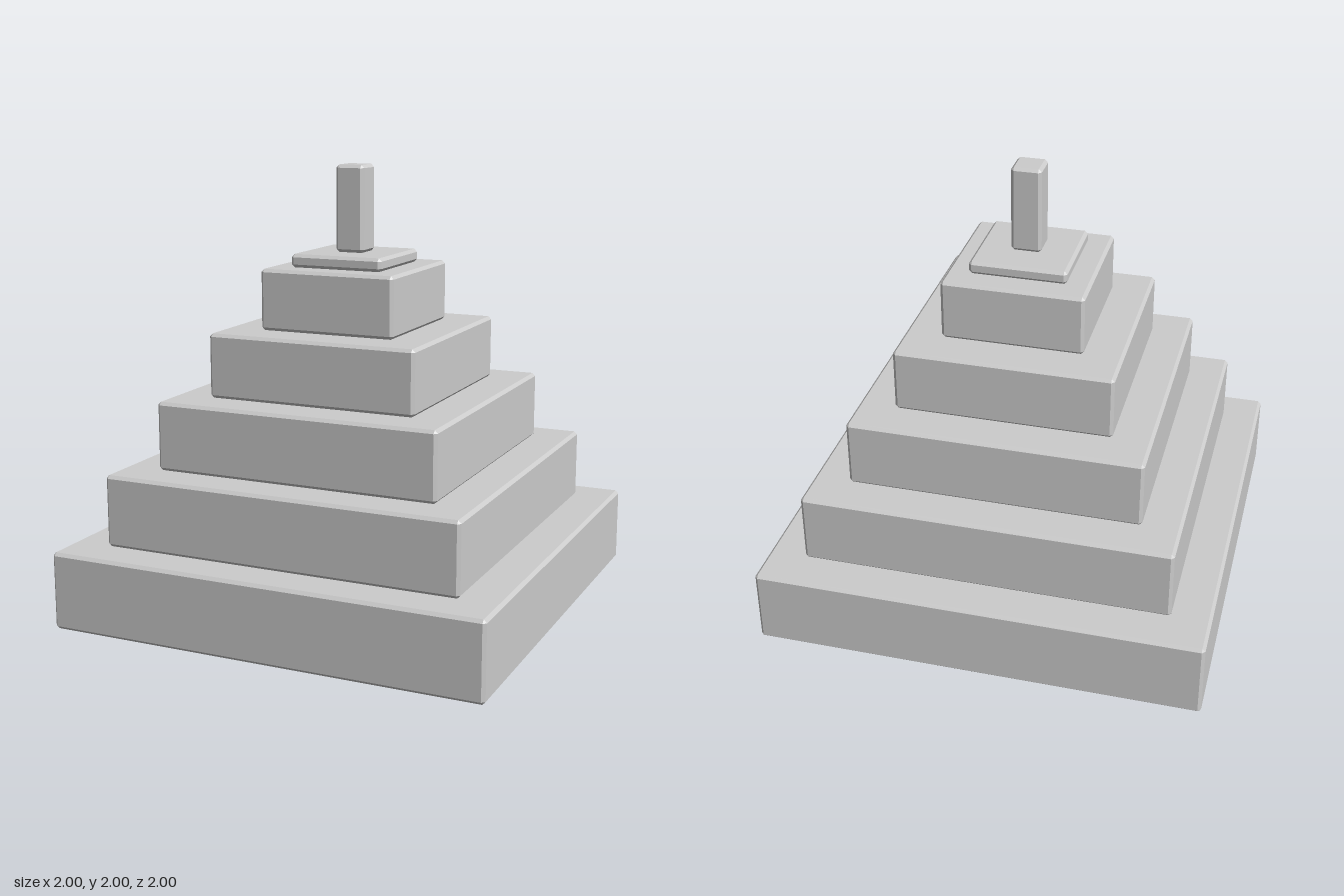
import * as THREE from 'three';
import { ConvexGeometry } from 'three/addons/geometries/ConvexGeometry.js';

const BEVEL = 0.014;

// Square block with a flat chamfer on every edge, centred on its own origin
function chamferedBlock(half, height) {
  const size = [half, height / 2, half];
  const points = [];
  for (const sx of [-1, 1]) for (const sy of [-1, 1]) for (const sz of [-1, 1]) {
    for (let outer = 0; outer < 3; outer++) {
      const p = [sx, sy, sz].map((s, i) => s * (size[i] - (i === outer ? 0 : BEVEL)));
      points.push(new THREE.Vector3(...p));
    }
  }
  return new ConvexGeometry(points);
}

export function createModel() {
  const model = new THREE.Group();
  model.name = 'steppedPyramid';
  const material = new THREE.MeshStandardMaterial({ color: 0xcccccc, flatShading: true });

  // Stacked from the ground up: name, half width, top height
  const blocks = [
    ['baseTier', 1.0, 0.35],
    ['secondTier', 0.827, 0.675],
    ['thirdTier', 0.658, 0.985],
    ['fourthTier', 0.488, 1.275],
    ['topTier', 0.318, 1.55],
    ['capSlab', 0.218, 1.61],
    ['post', 0.068, 2.0],
  ];

  let bottom = 0;
  for (const [name, half, top] of blocks) {
    const block = new THREE.Mesh(chamferedBlock(half, top - bottom), material);
    block.name = name;
    block.position.y = (top + bottom) / 2;
    model.add(block);
    bottom = top;
  }
  return model;
}
